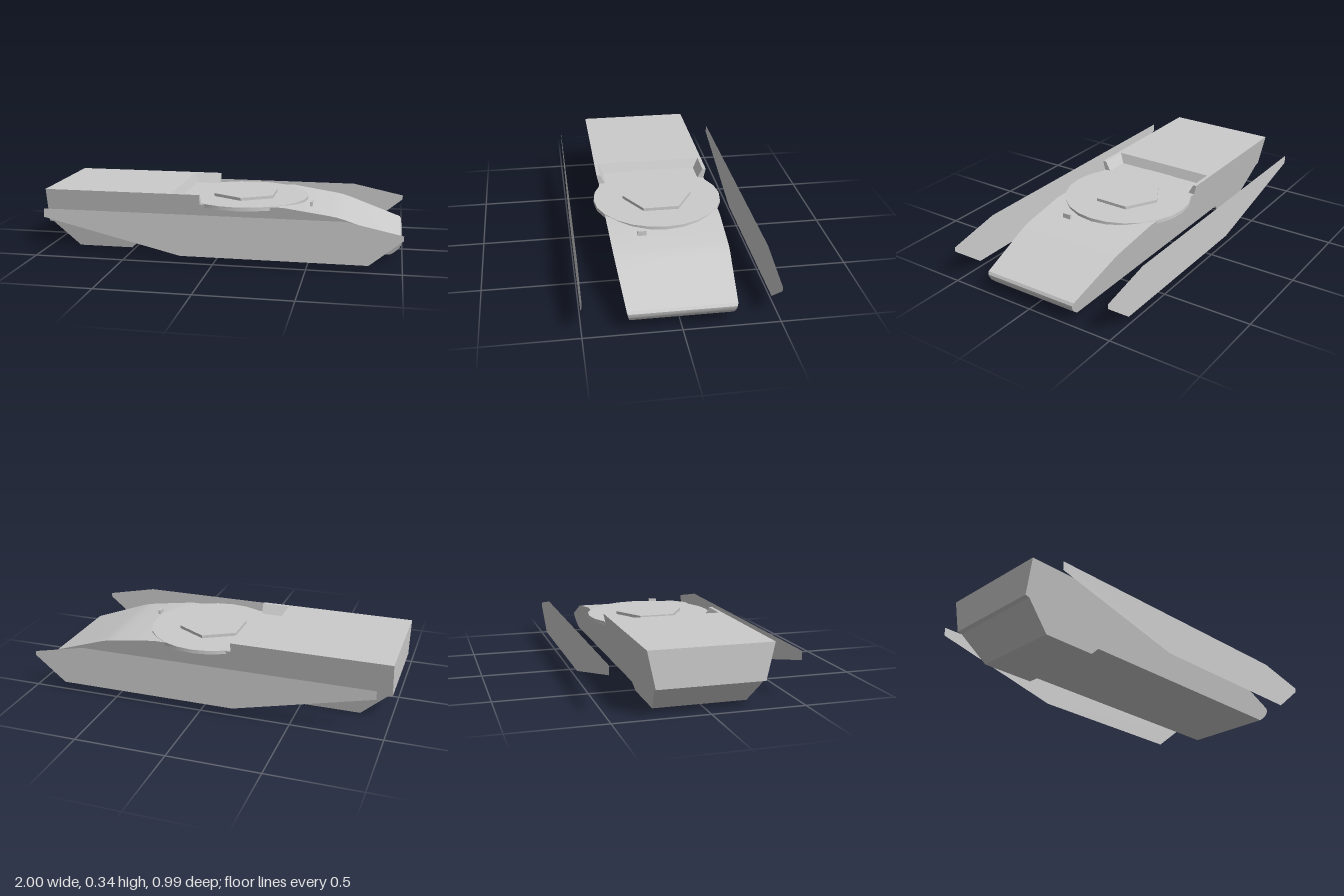
import * as THREE from 'three';
import { toCreasedNormals } from 'three/addons/utils/BufferGeometryUtils.js';

const material = new THREE.MeshStandardMaterial({ color: 0xcccccc });
const sheetMaterial = new THREE.MeshStandardMaterial({ color: 0xcccccc, side: THREE.DoubleSide });

const DECK = 0.285, ROOF = 0.34;
const halfWidth = (y) => 0.25 + 0.22 * y; // hull sides lean outward with height

const shapeOf = (points) => new THREE.Shape(points.map(([x, y]) => new THREE.Vector2(x, y)));

function add(parent, name, geometry, mat = material) {
  const mesh = new THREE.Mesh(geometry, mat);
  mesh.name = name;
  parent.add(mesh);
  return mesh;
}

// Side profile extruded across the width, then flared to the leaning sides
function hullGeometry() {
  const profile = shapeOf([
    [-1, ROOF], [-1, 0.145], [-0.975, 0.14], [-0.83, 0], [-0.52, 0], [-0.48, 0.04],
    [0.935, 0.038], [0.96, 0.056], [0.98, 0.077], [0.99, 0.095], [0.993, 0.11], [0.985, 0.125],
    [0.68, 0.231], [0.64, 0.242], [0.6, 0.249], [0.35, DECK], [-0.25, DECK], [-0.27, ROOF],
  ]);
  const geometry = new THREE.ExtrudeGeometry(profile, { depth: 2, bevelEnabled: false });
  const p = geometry.attributes.position;
  for (let i = 0; i < p.count; i++) p.setZ(i, (p.getZ(i) - 1) * halfWidth(p.getY(i)));
  geometry.computeVertexNormals();
  return toCreasedNormals(geometry, 0.5);
}

// Short wall beside the deck recess, running forward from the rear box
function recessWallGeometry(side) {
  const section = shapeOf([
    [side * halfWidth(0.27), 0.27], [side * halfWidth(ROOF), ROOF],
    [side * 0.305, ROOF], [side * 0.275, DECK], [side * 0.275, 0.27],
  ]);
  const geometry = new THREE.ExtrudeGeometry(section, { depth: 0.16, bevelEnabled: false });
  return geometry.rotateY(-Math.PI / 2).translate(-0.11, 0, 0);
}

export function createModel() {
  const model = new THREE.Group();
  model.name = 'armouredHull';

  add(model, 'hull', hullGeometry());

  // Turret ring, overhanging the hull sides, with a hexagonal plate on top
  const ring = new THREE.CylinderGeometry(0.36, 0.36, 0.021, 24);
  add(model, 'turretRing', toCreasedNormals(ring, 0.5)).position.set(0.1, 0.2765, 0);
  const hex = new THREE.CylinderGeometry(0.195, 0.195, 0.02, 6);
  add(model, 'hexagonalPlate', toCreasedNormals(hex, 0.5)).position.set(0.1, 0.294, 0);

  // Small periscope block on the front deck
  add(model, 'periscope', new THREE.BoxGeometry(0.014, 0.03, 0.048)).position.set(0.492, 0.275, 0.137);

  // Thin side skirts standing clear of the hull
  const skirt = new THREE.ShapeGeometry(shapeOf([
    [-0.945, 0.268], [-0.945, 0.22], [-0.18, 0.038], [0.825, 0.038],
    [1, 0.18], [1, 0.205], [0.7, 0.268],
  ]));
  for (const side of [1, -1]) {
    const label = side > 0 ? 'Front' : 'Back';
    add(model, 'recessWall' + label, recessWallGeometry(side));
    add(model, 'sideSkirt' + label, skirt, sheetMaterial).position.z = side * 0.494;
  }
  return model;
}
